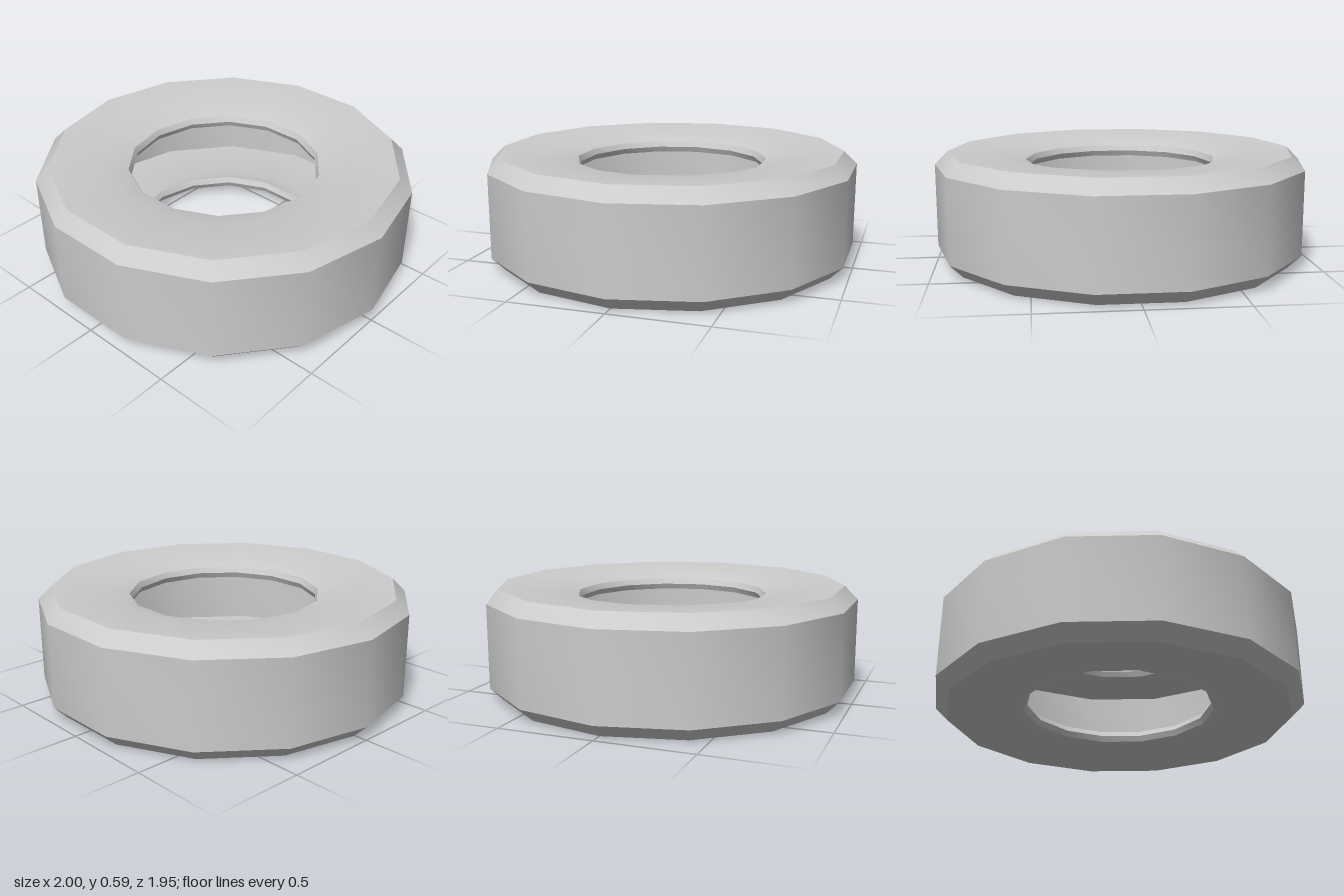
import * as THREE from 'three';
import { toCreasedNormals } from 'three/addons/utils/BufferGeometryUtils.js';

const SIDES = 14;
const HEIGHT = 0.586;

export function createModel() {
  const group = new THREE.Group();
  group.name = 'tire';
  const material = new THREE.MeshStandardMaterial({ color: 0xcccccc });

  // Lower half of the cross-section [radius, y], from the cavity out to the tread
  const lower = [
    [0.93, 0.09],   // cavity corner
    [0.62, 0.085],  // inside of sidewall
    [0.515, 0.112], // bead, inner edge
    [0.5, 0.081],   // bead, narrowest point
    [0.515, 0.05],  // bead, outer edge
    [0.62, 0.02],   // sidewall dishing in towards the bead
    [0.93, 0],      // sidewall edge
    [1, 0.07],      // tread shoulder
  ];
  // Mirror to the upper half and close the loop
  const upper = lower.map(([r, y]) => [r, HEIGHT - y]).reverse();
  const profile = [...lower, ...upper, lower[0]].map(([r, y]) => new THREE.Vector2(r, y));

  // Hollow casing: soft around the axis, sharp at the shoulders and bead
  const lathe = new THREE.LatheGeometry(profile, SIDES, Math.PI / 2);
  const casing = new THREE.Mesh(toCreasedNormals(lathe, THREE.MathUtils.degToRad(32)), material);
  casing.name = 'tireCasing';
  group.add(casing);
  return group;
}
